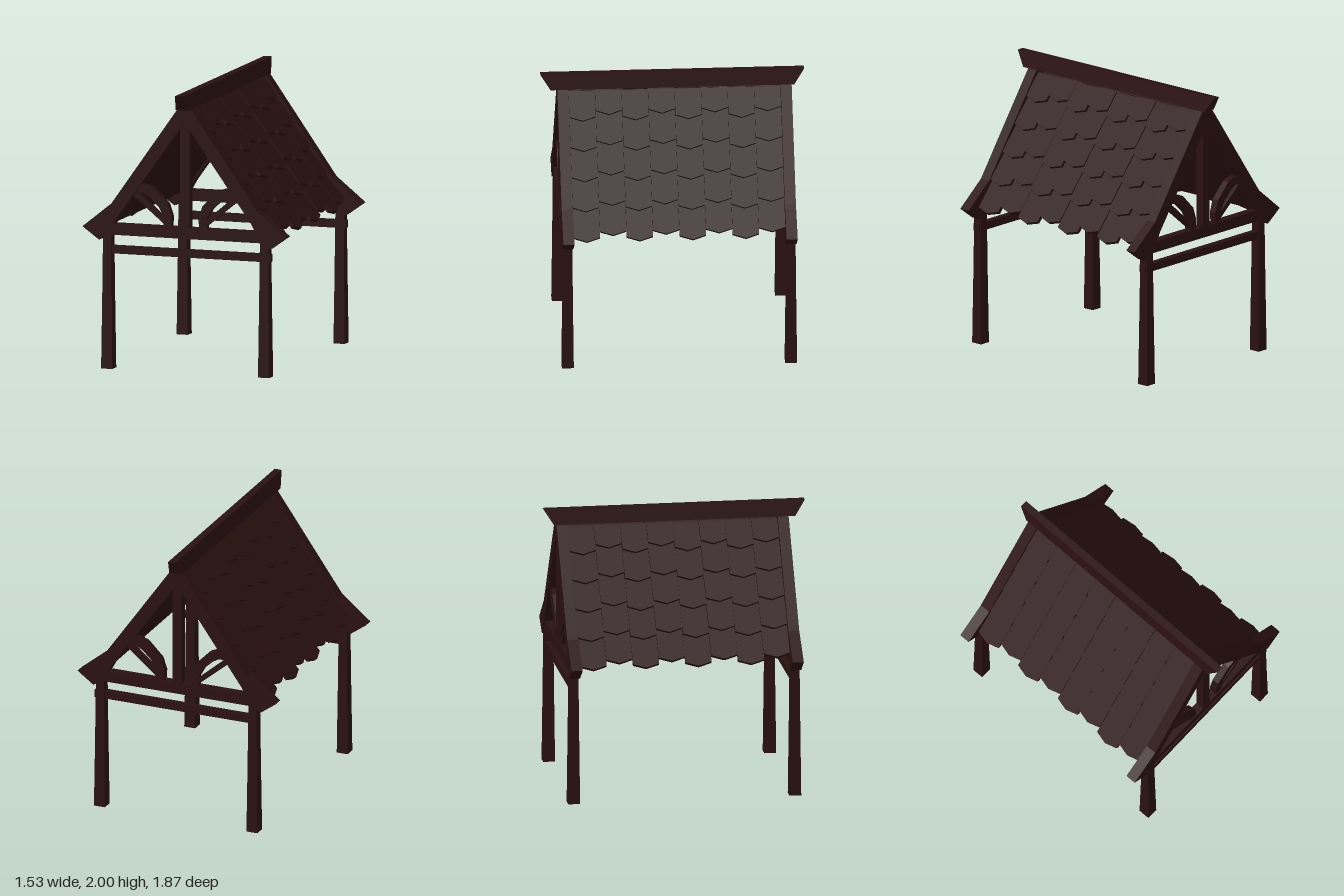
import * as THREE from 'three';

const wood = new THREE.MeshStandardMaterial({ color: 0x2a1011 });
wood.name = 'darkWood';

function add(parent, name, geometry, x = 0, y = 0, z = 0) {
  const mesh = new THREE.Mesh(geometry, wood);
  mesh.name = name;
  mesh.position.set(x, y, z);
  parent.add(mesh);
  return mesh;
}

// Flat plate cut from an outline, centred on z; side = -1 flips it in x
function plate(points, depth, side = 1) {
  const shape = new THREE.Shape(points.map(([x, y]) => new THREE.Vector2(x * side, y)));
  return new THREE.ExtrudeGeometry(shape, { depth, bevelEnabled: false }).translate(0, 0, -depth / 2);
}

// Box whose top and bottom rectangles have their own half sizes
function taperedBox(height, bottom, top, segments = 1, middle = null) {
  const g = new THREE.BoxGeometry(2, height, 2, 1, segments, 1).translate(0, height / 2, 0);
  const p = g.attributes.position;
  for (let i = 0; i < p.count; i++) {
    const y = p.getY(i);
    const s = y < 0.001 ? bottom : y > height - 0.001 ? top : middle;
    p.setX(i, p.getX(i) * s[0]);
    p.setZ(i, p.getZ(i) * s[1]);
  }
  g.computeVertexNormals();
  return g;
}

const FRONT_Z = 0.775, BACK_Z = -0.805, MID_Z = (FRONT_Z + BACK_Z) / 2;

const rafterOutline = [
  [0, 1.91], [0.05, 1.89], [0.548, 1.185], [0.765, 1.01], [0.64, 0.92],
  [0.53, 1.04], [0.497, 1.1], [0.035, 1.745], [0, 1.79],
];
const braceOutline = [
  [0.106, 1.03], [0.1, 1.11], [0.13, 1.2], [0.24, 1.31], [0.29, 1.33], [0.36, 1.335],
  [0.41, 1.27], [0.32, 1.275], [0.27, 1.245], [0.2, 1.18], [0.16, 1.11], [0.16, 1.03],
];
const strutOutline = [[0.14, 1.04], [0.14, 1.085], [0.35, 1.265], [0.4, 1.255]];

// Triangular end frame with its two posts
function gableFrame(name, z) {
  const frame = new THREE.Group();
  frame.name = name;
  frame.position.z = z;
  for (const side of [1, -1]) {
    add(frame, 'rafter', plate(rafterOutline, 0.078, side));
    add(frame, 'curvedBrace', plate(braceOutline, 0.05, side));
    add(frame, 'braceStrut', plate(strutOutline, 0.04, side));
    add(frame, 'post', taperedBox(1.0, [0.042, 0.042], [0.031, 0.031], 2, [0.036, 0.036]),
      side > 0 ? 0.595 : -0.582);
  }
  add(frame, 'tieBeam', new THREE.BoxGeometry(1.2, 0.08, 0.066), 0, 1.0);
  add(frame, 'lowerRail', new THREE.BoxGeometry(1.22, 0.055, 0.05), 0.03, 0.853);
  add(frame, 'kingPost', new THREE.BoxGeometry(0.07, 0.82, 0.06), 0, 1.42);
  return frame;
}

// One roof slope: a deck covered by rows of pointed shingles.
// Local axes: x along the ridge, y down the slope, z out of the roof.
function roofSlope(name) {
  const slope = new THREE.Group();
  slope.name = name;
  const down = new THREE.Vector3(0.576, -0.817, 0).normalize();
  const out = new THREE.Vector3(-down.y, down.x, 0);
  const along = new THREE.Vector3(0, 0, 1);
  const holder = new THREE.Group();
  holder.name = 'roofCovering';
  holder.quaternion.setFromRotationMatrix(new THREE.Matrix4().makeBasis(along, down, out));
  holder.position.set(0.045, 1.888, 0);
  slope.add(holder);

  add(holder, 'roofDeck', new THREE.BoxGeometry(1.51, 1.0, 0.02), 0, 0.5, -0.06);

  const columns = 8, pitch = 1.5 / columns, half = pitch / 2 - 0.001;
  for (let row = 0; row < 5; row++) {
    for (let col = 0; col < columns; col++) {
      // every second shingle hangs lower, like a hand-laid roof
      const drop = (col + 1) % 2 ? -0.022 : 0.022;
      const top = row === 0 ? -0.2 : -0.27;
      const outline = [[-half, top - drop], [half, top - drop], [half, -0.03], [0, 0], [-half, -0.03]];
      const tile = add(holder, 'shingle', plate(outline, 0.026),
        (col - (columns - 1) / 2) * pitch, 0.205 + row * 0.218 + drop, -0.013 + (col % 3) * 0.002);
      tile.rotation.x = 0.1;
    }
  }
  return slope;
}

export function createModel() {
  const model = new THREE.Group();
  model.name = 'openShelter';

  model.add(gableFrame('frontGable', FRONT_Z), gableFrame('backGable', BACK_Z));

  // Two slopes, the second turned half round
  const left = roofSlope('leftRoof');
  const right = roofSlope('rightRoof');
  right.rotation.y = Math.PI;
  left.position.z = right.position.z = MID_Z;
  model.add(left, right);

  // Ridge beam with flared ends
  add(model, 'ridgeBeam', taperedBox(0.11, [0.05, 0.862], [0.027, 0.933]), 0, 1.89, 0);

  return model;
}
